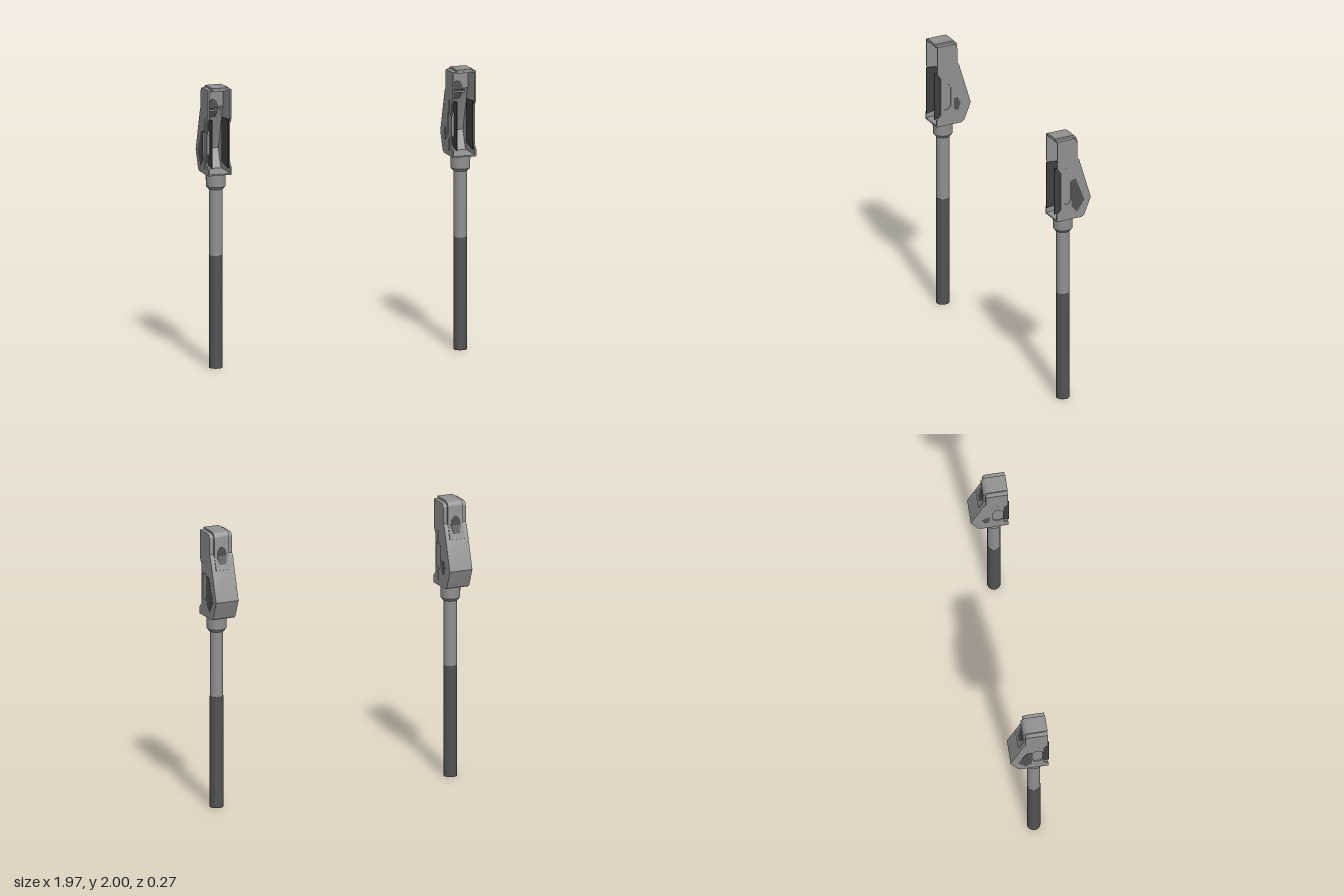
import * as THREE from 'three';
import { toCreasedNormals } from 'three/addons/utils/BufferGeometryUtils.js';

const mat = (name, color) => {
  const m = new THREE.MeshStandardMaterial({ color });
  m.name = name;
  return m;
};
const V = (z, y) => new THREE.Vector2(z, y);

// Extrude a (z, y) outline across x from x0 to x1
function slab(points, x0, x1, hole) {
  const shape = new THREE.Shape(points);
  if (hole) shape.holes.push(new THREE.Path(hole));
  const g = new THREE.ExtrudeGeometry(shape, { depth: x1 - x0, bevelEnabled: false });
  g.rotateY(-Math.PI / 2).translate(x1, 0, 0);
  return toCreasedNormals(g, 0.5);
}

// Thicken an open (z, y) path inward into a closed outline
function strip(path, t) {
  const normal = (a, b) => V(-(b.y - a.y), b.x - a.x).normalize();
  const inner = path.map((p, i) => {
    const n1 = normal(path[Math.max(i - 1, 0)], path[Math.max(i, 1)]);
    const last = path.length - 1;
    const n2 = normal(path[Math.min(i, last - 1)], path[Math.min(i + 1, last)]);
    const n = n1.clone().add(n2).normalize();
    return p.clone().addScaledVector(n, t / n.dot(n1));
  });
  return [...path, ...inner.reverse()];
}

// Quarter round at the top of the back
function bend(rz, ry) {
  const pts = [];
  for (let i = 0; i <= 8; i++) {
    const a = (i / 8) * Math.PI / 2;
    pts.push(V(-rz * Math.sin(a), 1.95 + ry * Math.cos(a)));
  }
  return pts;
}

export function createModel() {
  const grey = mat('housing grey', 0x909090);
  const dark = mat('dark grey', 0x525252);
  const charcoal = mat('charcoal', 0x404040);
  const model = new THREE.Group();

  const profile = [V(0.125, 1.985), ...bend(0.03, 0.035), V(-0.03, 1.84), V(-0.045, 1.82),
    V(-0.135, 1.52), V(-0.122, 1.485), V(-0.085, 1.395), V(-0.065, 1.38), V(0.13, 1.38)];
  const notch = [V(0.13, 1.43), V(0.098, 1.465), V(0.098, 1.74), V(0.125, 1.78)];
  const recess = [V(0.04, 1.69), V(0.07, 1.69), V(0.09, 1.665), V(0.09, 1.525),
    V(0.07, 1.5), V(0.04, 1.5), V(0.02, 1.525), V(0.02, 1.665)];
  const strapPath = [V(0.128, 2), ...bend(0.045, 0.05), V(-0.045, 1.828), V(-0.08, 1.735)];
  const largePatch = [V(0.015, 1.68), V(-0.02, 1.675), V(-0.085, 1.51), V(-0.028, 1.426), V(0.015, 1.475)];
  const smallPatch = [V(-0.005, 1.57), V(-0.035, 1.575), V(-0.055, 1.53), V(-0.035, 1.475), V(-0.005, 1.495)];
  const plate = [V(0.137, 1.43), V(0.137, 1.78), V(0.105, 1.775), V(0.0, 1.765), V(0.0, 1.45)];

  for (const s of [-1, 1]) {
    const post = new THREE.Group();
    post.name = s > 0 ? 'leftPost' : 'rightPost';
    post.position.x = s * 0.8975;
    model.add(post);
    const add = (name, geo, material, x = 0, y = 0, z = 0) => {
      const m = new THREE.Mesh(geo, material);
      m.name = name;
      m.position.set(x, y, z);
      post.add(m);
      return m;
    };

    // Pole and collar
    add('lowerPole', new THREE.CylinderGeometry(0.047, 0.047, 0.8, 32), dark, 0, 0.4, 0.039);
    add('upperPole', new THREE.CylinderGeometry(0.046, 0.046, 0.5, 32), grey, 0, 1.05, 0.039);
    const collar = [[0.04, 1.27], [0.053, 1.27], [0.068, 1.29], [0.07, 1.385], [0, 1.385]].map(p => V(...p));
    add('collar', toCreasedNormals(new THREE.LatheGeometry(collar, 32), 0.4), grey, 0, 0, 0.039);

    // Hollow housing, open at the front
    add('housingBack', slab(strip(profile, 0.01), -0.076, 0.076), grey);
    for (const side of [-1, 1]) {
      const across = (name, pts, a, b, material, hole) =>
        add(name, slab(pts, Math.min(side * a, side * b), Math.max(side * a, side * b), hole), material);
      across('sideWall', [...profile, ...notch], 0.076, 0.086, grey, recess);
      across('recessBlock', recess, 0.062, 0.08, grey);
      across('innerPlate', plate, 0.056, 0.062, charcoal);
      across('sidePatch', side === s ? largePatch : smallPatch, 0.084, 0.0875, dark);
      for (const y of [1.735, 1.458])
        add('sideRib', new THREE.BoxGeometry(0.005, 0.08, 0.009), grey, side * 0.086, y, 0.055);
    }

    // Raised strap over the top and down the back
    add('strap', slab(strip(strapPath, 0.014), -0.057, 0.057), grey);

    // Dark window set across the bend of the strap
    const upper = new THREE.Shape();
    upper.absellipse(0, 0, 0.037, 0.065, 0, Math.PI);
    const lower = new THREE.Shape([V(-0.037, 0), V(-0.022, -0.06), V(0.022, -0.06), V(0.037, 0)]);
    const opts = { depth: 0.034, bevelEnabled: false, curveSegments: 16 };
    add('windowUpper', new THREE.ExtrudeGeometry(upper, opts), dark, 0, 1.828, -0.047);
    const low = add('windowLower', new THREE.ExtrudeGeometry(lower, opts), dark, 0, 1.828, -0.0475);
    low.rotation.x = Math.atan2(0.035, 0.093);

    // Small ledge inside, under the window
    add('innerLedge', new THREE.BoxGeometry(0.1, 0.012, 0.03), grey, 0, 1.815, -0.02);
  }
  return model;
}
